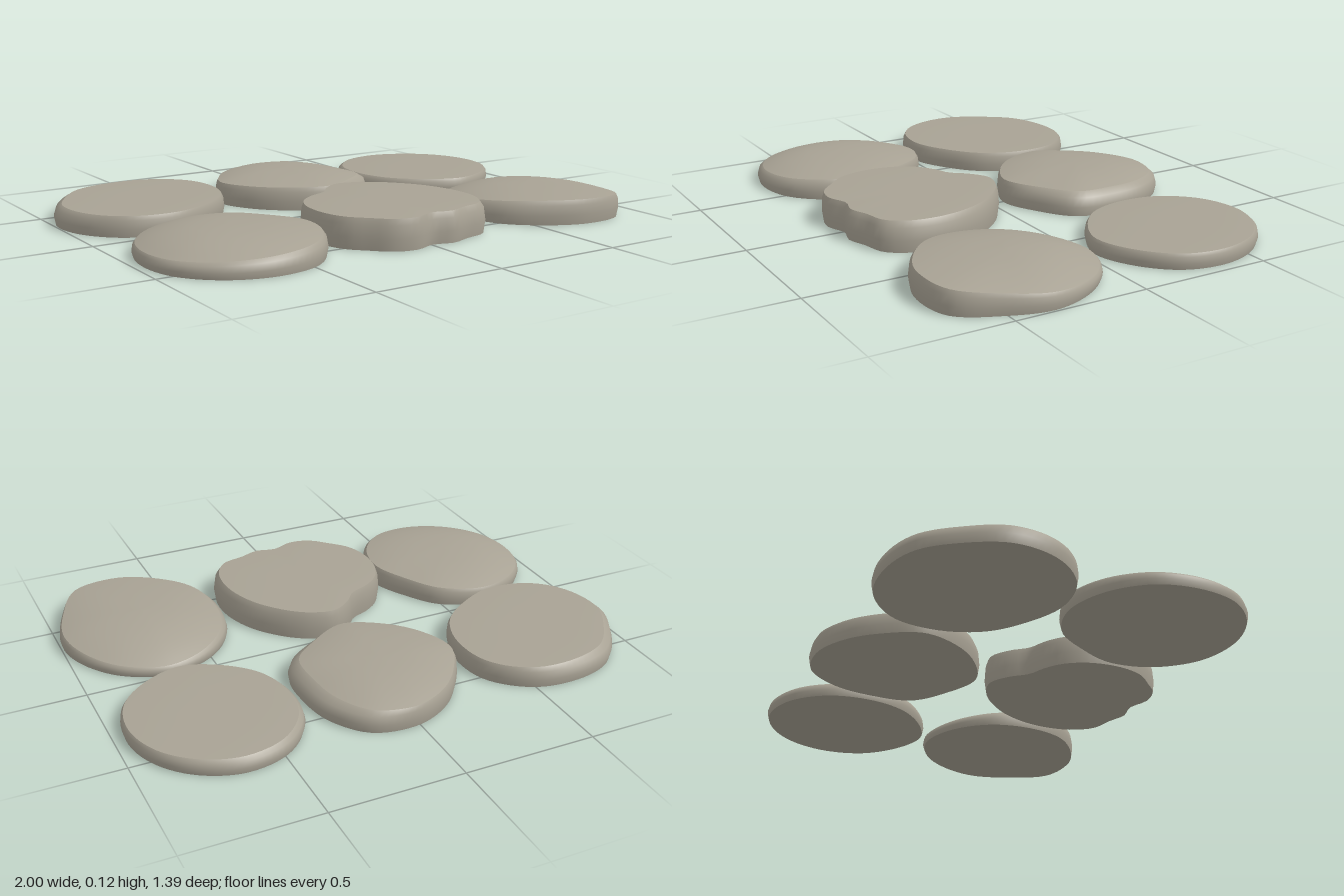
import * as THREE from 'three';
import { mergeGeometries } from 'three/addons/utils/BufferGeometryUtils.js';

const SEG = 72;

// Smooth skin through a list of closed rings
function loft(rings) {
  const pos = [], idx = [];
  rings.forEach((ring) => ring.forEach((p) => pos.push(p.x, p.y, p.z)));
  for (let r = 0; r < rings.length - 1; r++) {
    for (let i = 0; i < SEG; i++) {
      const j = (i + 1) % SEG;
      const a = r * SEG + i, b = r * SEG + j, c = a + SEG, d = b + SEG;
      idx.push(a, c, b, b, c, d);
    }
  }
  const g = new THREE.BufferGeometry();
  g.setAttribute('position', new THREE.Float32BufferAttribute(pos, 3));
  g.setIndex(idx);
  g.computeVertexNormals();
  return g;
}

// Stone from radii at even angles, starting at +x and turning towards +z.
// rim and crown are heights, tiltX and tiltZ slope the rim, and the bevel
// widens by leanWidth towards the angle lean.
function stoneGeometry({ radii, rim, crown, full = 3, tiltX = 0, tiltZ = 0, lean, leanWidth }) {
  const corners = radii.map((r, i) => {
    const a = (i / radii.length) * Math.PI * 2;
    return new THREE.Vector3(r * Math.cos(a), 0, r * Math.sin(a));
  });
  const outline = new THREE.CatmullRomCurve3(corners, true).getSpacedPoints(SEG).slice(0, SEG);

  // Ring drawn in from the outline by a distance, at a share of the rim height
  const inset = (distance, share) => outline.map((p) => {
    const q = p.clone().setLength(p.length() - distance(p));
    q.y = share * (rim + tiltX * p.x + tiltZ * p.z);
    return q;
  });
  const bevel = (p) => 0.011 + leanWidth * Math.max(0, Math.cos(Math.atan2(p.z, p.x) - lean));

  const foot = inset(() => 0.006, 0);
  const belly = inset(() => 0, 0.4);
  const shoulder = inset((p) => bevel(p) * 0.3, 0.8);
  const edge = inset(bevel, 1);

  // Crown rings shrink from the edge to the centre
  const top = [1, 0.92, 0.82, 0.7, 0.55, 0.4, 0.2, 0].map((k) => edge.map((p) => (
    new THREE.Vector3(p.x * k, THREE.MathUtils.lerp(crown, p.y, k ** full), p.z * k)
  )));
  const middle = foot.map(() => new THREE.Vector3());
  return mergeGeometries([loft([foot, belly, shoulder, edge]), loft(top), loft([middle, foot])]);
}

export function createModel() {
  const group = new THREE.Group();
  group.name = 'steppingStones';
  const stone = new THREE.MeshStandardMaterial({ color: 0xa8a294 });
  stone.name = 'warm grey stone';

  const addStone = (name, x, z, shape) => {
    const mesh = new THREE.Mesh(stoneGeometry(shape), stone);
    mesh.name = name;
    mesh.position.set(x, 0, z);
    group.add(mesh);
  };

  // Back row
  addStone('backRightStone', -0.665, -0.34, {
    radii: [.338, .322, .308, .33, .347, .345, .335, .313, .325, .33, .352, .36],
    rim: 0.078, crown: 0.082, lean: -2.36, leanWidth: 0.025,
  });
  addStone('backMiddleStone', 0.01, -0.375, {
    radii: [.305, .333, .313, .328, .302, .298, .31, .284, .29, .314, .333, .314],
    rim: 0.085, crown: 0.116, full: 2.6, tiltZ: 0.02, lean: 0, leanWidth: 0.035,
  });
  addStone('backLeftStone', 0.655, -0.365, {
    radii: [.309, .319, .322, .335, .31, .306, .31, .329, .339, .333, .315, .306],
    rim: 0.057, crown: 0.062, lean: -2.2, leanWidth: 0.012,
  });

  // Front row, with a notched stone in the middle
  addStone('frontRightStone', -0.66, 0.35, {
    radii: [.328, .342, .35, .34, .33, .324, .315, .323, .331, .341, .332, .307],
    rim: 0.064, crown: 0.106, full: 2.6, tiltX: 0.05, lean: 1.57, leanWidth: 0.012,
  });
  addStone('frontMiddleStone', 0.005, 0.34, {
    radii: [.325, .342, .36, .362, .326, .32, .291, .33, .344, .336, .343, .338,
      .33, .322, .308, .285, .267, .302, .337, .33, .317, .308, .308, .313],
    rim: 0.114, crown: 0.118, lean: 0.4, leanWidth: 0.012,
  });
  addStone('frontLeftStone', 0.68, 0.35, {
    radii: [.318, .32, .364, .34, .315, .318, .32, .336, .345, .35, .329, .314],
    rim: 0.066, crown: 0.108, full: 2.4, tiltX: -0.02, tiltZ: 0.08, lean: 3.14, leanWidth: 0.012,
  });
  return group;
}
